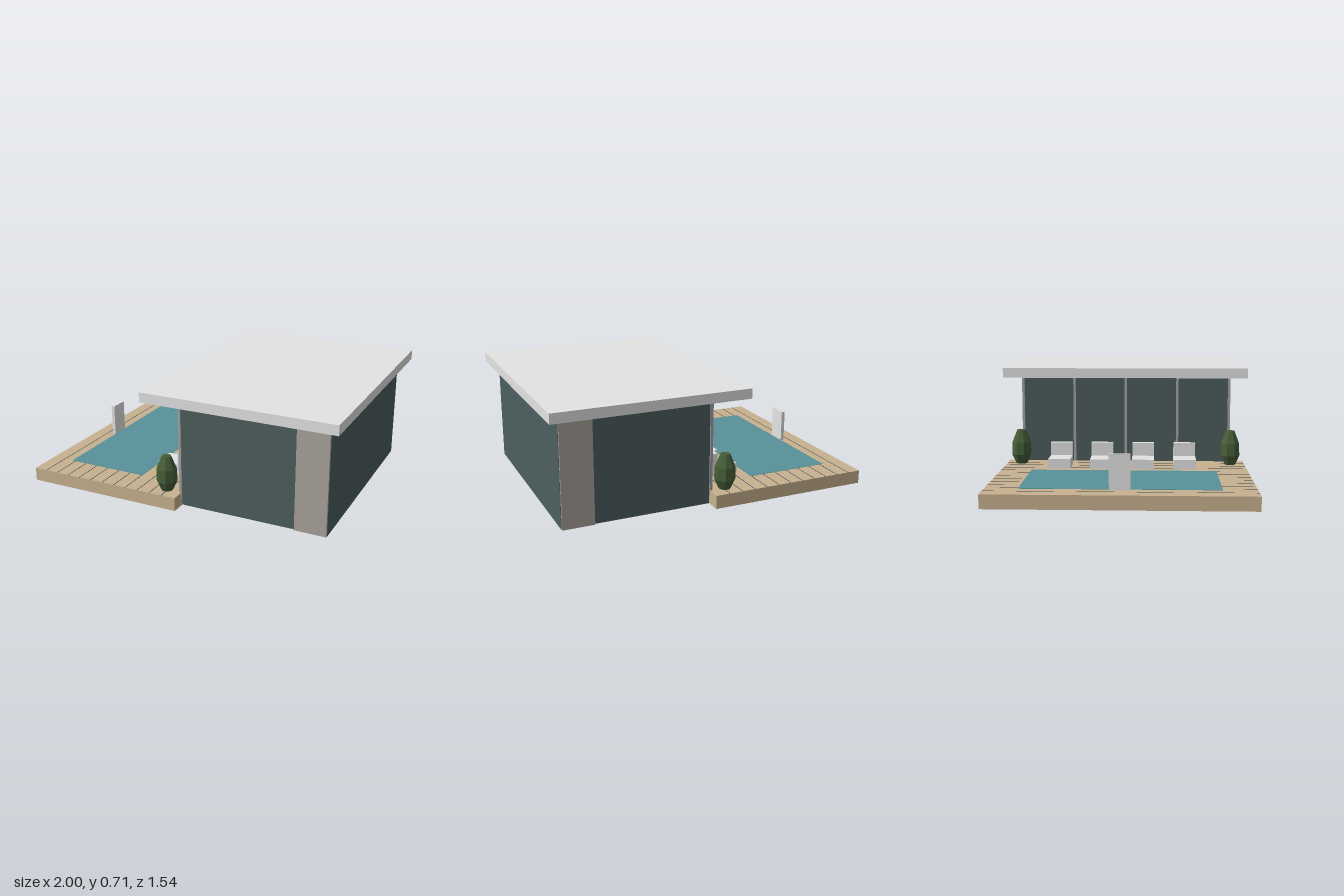
import * as THREE from 'three';

const mat = (name, color, extra = {}) => {
  const m = new THREE.MeshStandardMaterial({ color, ...extra });
  m.name = name;
  return m;
};

export function createModel() {
  const model = new THREE.Group();
  model.name = 'poolHouse';
  const shell = { side: THREE.DoubleSide };
  const roofGrey = mat('roofGrey', 0xe4e4e4);
  const wood = mat('deckWood', 0xc8b28f, shell);
  const gap = mat('boardGap', 0x3f4f54);
  const water = mat('poolWater', 0x58929a);
  const glass = mat('darkGlass', 0x4d5e5e, shell);
  const stone = mat('stoneWall', 0xa9a39a, shell);
  const metal = mat('frameMetal', 0xa4a4a8);
  const leaf = mat('leafGreen', 0x465e38, { flatShading: true });

  // Box given by its lowest and highest corners; open boxes have no bottom
  const box = (name, material, [x0, y0, z0], [x1, y1, z1], open = false, parent = model) => {
    const g = new THREE.BoxGeometry(x1 - x0, y1 - y0, z1 - z0);
    if (open) {
      const idx = Array.from(g.index.array);
      idx.splice(18, 6);
      g.setIndex(idx);
      g.clearGroups();
    }
    g.translate((x0 + x1) / 2, (y0 + y1) / 2, (z0 + z1) / 2);
    const mesh = new THREE.Mesh(g, material);
    mesh.name = name;
    parent.add(mesh);
  };

  const deckY = 0.083;
  const eavesY = 0.651;

  // Deck with dark gaps between the boards
  box('deck', wood, [-1, 0, -0.77], [0.013, deckY, 0.77], true);
  for (let i = 1; i < 12; i++) {
    const x = -1 + i * 0.0838;
    box('boardGap', gap, [x - 0.0025, deckY + 0.0004, -0.769], [x + 0.0025, deckY + 0.001, 0.769]);
  }

  // Pool surface
  box('poolWater', water, [-0.856, deckY + 0.0004, -0.578], [-0.325, deckY + 0.002, 0.574]);

  // Upright panel beside the pool
  box('poolPanel', roofGrey, [-0.88, deckY, -0.063], [-0.857, 0.289, 0.058]);

  // House: glass body, stone end walls and flat roof
  box('glassWalls', glass, [0.006, 0, -0.675], [0.931, eavesY, 0.675], true);
  box('stoneWall', stone, [0.736, 0, -0.686], [0.929, eavesY, 0.686], true);
  box('roof', roofGrey, [-0.205, eavesY, -0.77], [1, 0.712, 0.77]);

  // Window posts along the pool side
  for (let i = -2; i <= 2; i++) {
    const z = i * 0.337;
    box('windowPost', metal, [-0.003, 0.001, z - 0.008], [0.014, eavesY, z + 0.008]);
  }

  // Row of lounge chairs facing the pool
  for (let i = 0; i < 4; i++) {
    const z = -0.41 + i * 0.2635;
    const chair = new THREE.Group();
    chair.name = 'loungeChair';
    box('chairSeat', roofGrey, [-0.278, deckY, z - 0.07], [-0.105, 0.144, z + 0.07], false, chair);
    box('chairBack', roofGrey, [-0.14, 0.144, z - 0.07], [-0.105, 0.228, z + 0.07], false, chair);
    model.add(chair);
  }

  // Faceted shrubs at both deck corners
  const profile = [[0, deckY], [0.037, deckY], [0.064, 0.145], [0.061, 0.225], [0.029, 0.302], [0, 0.302]]
    .map(([r, y]) => new THREE.Vector2(r, y));
  for (const side of [-1, 1]) {
    const shrub = new THREE.Mesh(new THREE.LatheGeometry(profile, 8, Math.PI / 8), leaf);
    shrub.name = 'shrub';
    shrub.position.set(-0.088, 0, side * 0.677);
    model.add(shrub);
  }

  return model;
}
